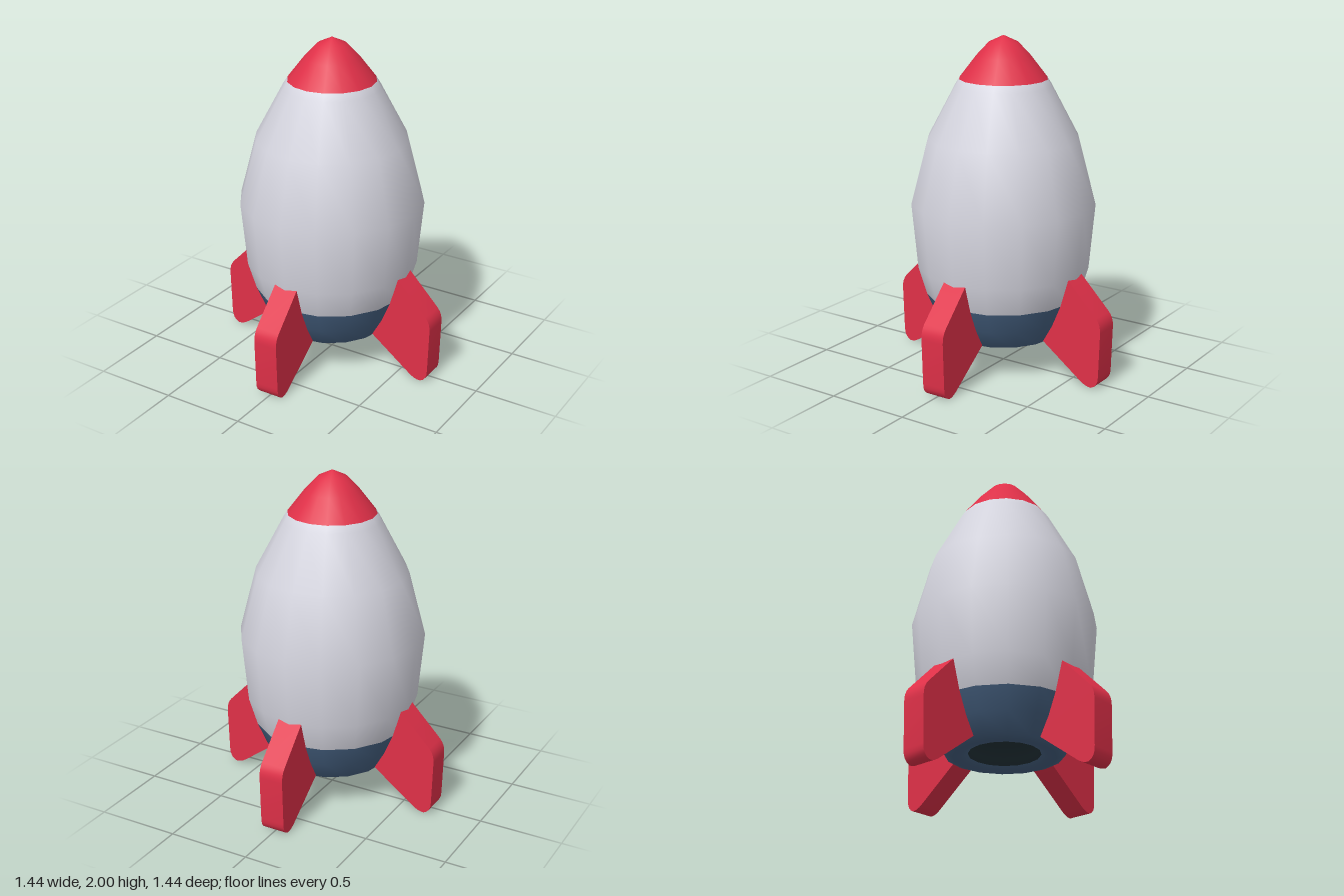
import * as THREE from 'three';
import { toCreasedNormals } from 'three/addons/utils/BufferGeometryUtils.js';

const SIDES = 16;

function material(name, color) {
  const m = new THREE.MeshStandardMaterial({ color });
  m.name = name;
  return m;
}

// Rings of the hull, from the nozzle recess round the lip and up to the tip: [radius, height]
const PROFILE = [
  [0, 0.33], [0.12, 0.31], [0.19, 0.26], [0.21, 0.22],
  [0.25, 0.205], [0.30, 0.20], [0.345, 0.215], [0.41, 0.33], [0.465, 0.46],
  [0.515, 0.63], [0.55, 1.02], [0.45, 1.40], [0.285, 1.71], [0.26, 1.75],
  [0.16, 1.88], [0.085, 1.96], [0, 2.0],
];

// One colour band of the hull; every band shares the smooth normals of the full lathe
function hullBand(lathe, from, to) {
  const rows = PROFILE.length - 1;
  const source = lathe.getIndex().array;
  const index = [];
  for (let s = 0; s < SIDES; s++) {
    for (let r = from; r < to; r++) {
      const start = (s * rows + r) * 6;
      index.push(...source.slice(start, start + 6));
    }
  }
  const band = lathe.clone();
  band.setIndex(index);
  return band;
}

// Swept fin with rounded outer corners, rooted inside the hull
function finGeometry() {
  const s = new THREE.Shape();
  s.moveTo(0.30, 0.246);
  s.lineTo(0.59, 0.03);
  s.quadraticCurveTo(0.63, 0.0, 0.665, 0.003);
  s.quadraticCurveTo(0.71, 0.02, 0.71, 0.08);
  s.lineTo(0.718, 0.35);
  s.quadraticCurveTo(0.72, 0.40, 0.69, 0.435);
  s.lineTo(0.50, 0.63);
  s.lineTo(0.40, 0.63);
  s.closePath();
  const g = new THREE.ExtrudeGeometry(s, { depth: 0.15, bevelEnabled: false, curveSegments: 4 });
  g.translate(0, 0, -0.075);
  return toCreasedNormals(g, 0.6);
}

export function createModel() {
  const red = material('red', 0xdf3048);
  const white = material('pale grey', 0xd6d6e0);
  const blue = material('navy blue', 0x456080);
  const dark = material('nozzle dark', 0x223238);

  const rocket = new THREE.Group();
  rocket.name = 'rocket';

  // Hull in four bands
  const points = PROFILE.map(([r, y]) => new THREE.Vector2(r, y));
  const lathe = new THREE.LatheGeometry(points, SIDES);
  const bands = [
    ['nozzleRecess', 0, 3, dark],
    ['baseBand', 3, 8, blue],
    ['body', 8, 13, white],
    ['noseCone', 13, 16, red],
  ];
  for (const [name, from, to, mat] of bands) {
    const mesh = new THREE.Mesh(hullBand(lathe, from, to), mat);
    mesh.name = name;
    rocket.add(mesh);
  }

  // Four fins
  const fin = finGeometry();
  ['leftFin', 'backFin', 'rightFin', 'frontFin'].forEach((name, i) => {
    const mesh = new THREE.Mesh(fin, red);
    mesh.name = name;
    mesh.rotation.y = i * Math.PI / 2;
    rocket.add(mesh);
  });

  return rocket;
}
